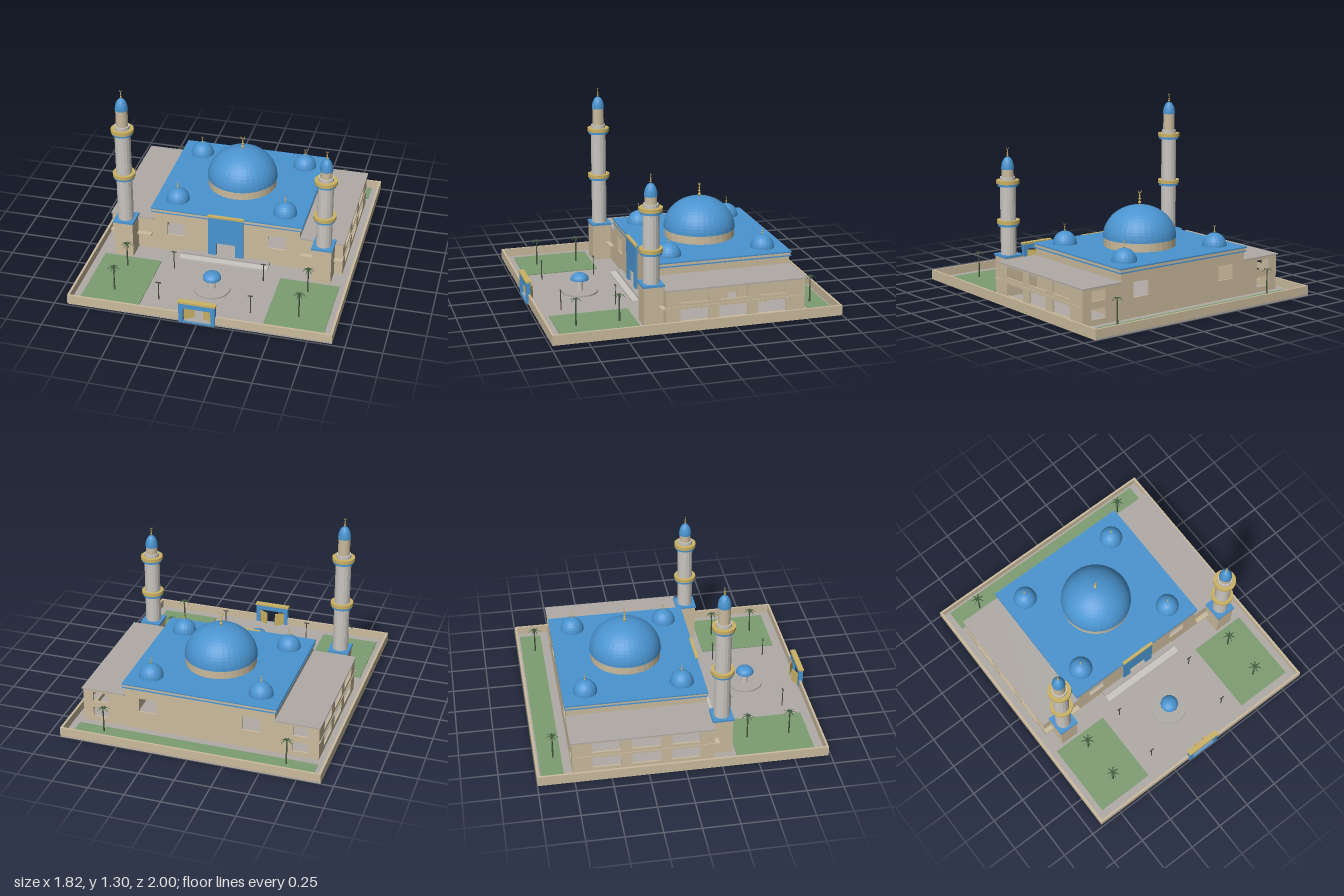
import * as THREE from 'three';

const mat = (name, color) => {
  const m = new THREE.MeshStandardMaterial({ color });
  m.name = name;
  return m;
};

export function createModel() {
  const blue = mat('blue', 0x4a94d0);
  const beige = mat('sandstone', 0xcbbb9e);
  const grey = mat('paving grey', 0xb0aba6);
  const pale = mat('pale stone', 0xcac6c0);
  const green = mat('lawn green', 0x7d9d72);
  const gold = mat('gold', 0xcbb264);
  const palm = mat('palm green', 0x46563f);
  const iron = mat('dark iron', 0x4a4a48);
  const leafMat = mat('frond green', 0x3f5a3c);
  leafMat.side = THREE.DoubleSide;

  const model = new THREE.Group();
  model.name = 'mosque';

  const add = (parent, name, geo, m, x = 0, y = 0, z = 0) => {
    const mesh = new THREE.Mesh(geo, m);
    mesh.name = name;
    mesh.position.set(x, y, z);
    parent.add(mesh);
    return mesh;
  };
  const group = (name, x = 0, y = 0, z = 0) => {
    const g = new THREE.Group();
    g.name = name;
    g.position.set(x, y, z);
    model.add(g);
    return g;
  };
  // Box given by its limits on each axis
  const box = (parent, name, m, x0, x1, y0, y1, z0, z1) =>
    add(parent, name, new THREE.BoxGeometry(x1 - x0, y1 - y0, z1 - z0), m,
      (x0 + x1) / 2, (y0 + y1) / 2, (z0 + z1) / 2);
  const faceted = (geo) => {
    const g = geo.toNonIndexed();
    g.computeVertexNormals();
    return g;
  };
  const drum = (parent, name, m, r, y0, y1, sides = 24) =>
    add(parent, name, faceted(new THREE.CylinderGeometry(r, r, y1 - y0, sides)), m, 0, (y0 + y1) / 2, 0);
  const dome = (parent, name, r, h, y, sides = 32, rows = 12) => {
    const geo = new THREE.SphereGeometry(r, sides, rows, 0, Math.PI * 2, 0, Math.PI / 2);
    geo.scale(1, h / r, 1);
    return add(parent, name, faceted(geo), blue, 0, y, 0);
  };
  // Upright wall with rectangular openings [x0, x1, y0, y1]
  const wall = (parent, name, m, x0, x1, y0, y1, depth, holes) => {
    const rect = (P, a, b, c, d) => {
      const p = new P();
      p.moveTo(a, c); p.lineTo(b, c); p.lineTo(b, d); p.lineTo(a, d); p.closePath();
      return p;
    };
    const shape = rect(THREE.Shape, x0, x1, y0, y1);
    holes.forEach((h) => shape.holes.push(rect(THREE.Path, ...h)));
    return add(parent, name, new THREE.ExtrudeGeometry(shape, { depth, bevelEnabled: false }), m);
  };
  // Rod with beads and an upturned crescent
  const finial = (parent, y, h) => {
    const f = new THREE.Group();
    f.name = 'finial';
    f.position.y = y;
    parent.add(f);
    add(f, 'rod', new THREE.CylinderGeometry(h * 0.03, h * 0.04, h * 0.8, 6), gold, 0, h * 0.4, 0);
    [[0.2, 0.1], [0.42, 0.08], [0.6, 0.06]].forEach(([t, r]) =>
      add(f, 'bead', new THREE.SphereGeometry(h * r, 10, 8), gold, 0, h * t, 0));
    const moon = add(f, 'crescent', new THREE.TorusGeometry(h * 0.12, h * 0.03, 6, 14, Math.PI * 1.35), gold, 0, h * 0.89, 0);
    moon.rotation.z = -Math.PI * 1.175;
  };

  // Courtyard and boundary wall
  const yard = group('courtyard');
  box(yard, 'paving', grey, -0.91, 0.91, 0, 0.012, -1, 0.985);
  box(yard, 'backBoundary', beige, -0.912, 0.912, 0, 0.07, -1, -0.985);
  for (const s of [-1, 1]) {
    const side = box(yard, 'sideBoundary', beige, -0.008, 0.008, 0, 0.07, -0.985, 0.97);
    side.position.x = s * 0.904;
    box(yard, 'frontBoundary', beige, s < 0 ? -0.912 : 0.11, s < 0 ? -0.11 : 0.912, 0, 0.07, 0.97, 0.985);
    const lawn = box(yard, 'frontLawn', green, -0.2075, 0.2075, 0.012, 0.018, 0.365, 0.905);
    lawn.position.x = s * 0.6375;
  }
  box(yard, 'backLawn', green, -0.845, 0.845, 0.012, 0.018, -0.97, -0.815);
  box(yard, 'entranceStep', grey, -0.32, 0.32, 0.012, 0.035, 0.21, 0.25);
  box(yard, 'lowerStep', pale, -0.32, 0.32, 0.012, 0.024, 0.245, 0.3);

  // Gate with its two leaves ajar
  const gate = group('gate');
  wall(gate, 'gateFrame', blue, -0.125, 0.125, 0, 0.152, 0.03, [[-0.095, 0.095, 0.008, 0.115]]).position.z = 0.967;
  box(gate, 'gateCap', gold, -0.13, 0.13, 0.152, 0.166, 0.962, 1);
  for (const s of [-1, 1]) {
    const leaf = box(gate, 'gateLeaf', gold, -0.036, 0.036, 0.012, 0.108, -0.003, 0.003);
    leaf.position.set(s * 0.063, 0.06, 0.955);
    leaf.rotation.y = s * -0.5;
  }

  // Prayer hall, hollow with openings
  const hall = group('hall');
  const windows = [-1, 1].map((s) => [s * 0.365 - 0.063, s * 0.365 + 0.063, 0.146, 0.25]);
  wall(hall, 'frontWall', beige, -0.53, 0.53, 0, 0.346, 0.012, [...windows, [-0.07, 0.07, 0.013, 0.135]]).position.z = 0.198;
  wall(hall, 'backWall', beige, -0.53, 0.53, 0, 0.346, 0.012, windows).position.z = -0.757;
  for (const s of [-1, 1]) {
    const w = wall(hall, 'sideWall', beige, -0.198, 0.745, 0, 0.346, 0.012, [[0.32, 0.38, 0.013, 0.1]]);
    w.rotation.y = Math.PI / 2;
    w.position.x = s > 0 ? 0.518 : -0.53;
  }
  box(hall, 'roof', blue, -0.545, 0.545, 0.346, 0.356, -0.77, 0.217);
  box(hall, 'cornice', beige, -0.538, 0.538, 0.328, 0.346, -0.763, 0.214);
  box(hall, 'corniceStripe', blue, -0.543, 0.543, 0.32, 0.328, -0.768, 0.216);

  // Tall entrance portal
  wall(hall, 'portal', blue, -0.127, 0.127, 0.012, 0.343, 0.015, [[-0.07, 0.07, 0.013, 0.135]]).position.z = 0.209;
  box(hall, 'portalCap', gold, -0.13, 0.13, 0.343, 0.357, 0.205, 0.227);

  // Central and corner domes
  const main = group('mainDome', 0, 0, -0.277);
  drum(main, 'domeDrum', beige, 0.247, 0.356, 0.415, 32);
  dome(main, 'domeShell', 0.252, 0.22, 0.415, 36, 14);
  finial(main, 0.63, 0.11);
  for (const x of [-0.39, 0.39]) for (const z of [0.06, -0.61]) {
    const d = group('cornerDome', x, 0, z);
    dome(d, 'domeShell', 0.084, 0.09, 0.356, 20, 8);
    finial(d, 0.442, 0.06);
  }

  // Two-storey side wings
  for (const s of [-1, 1]) {
    const wing = group('wing');
    const holes = [];
    for (const c of [-0.015, 0.255, 0.525]) {
      holes.push([c - 0.097, c + 0.097, 0.17, 0.248], [c - 0.097, c + 0.097, 0.045, 0.128]);
    }
    const outer = wall(wing, 'outerWall', beige, -0.21, 0.757, 0, 0.258, 0.012, holes);
    outer.rotation.y = Math.PI / 2;
    outer.position.x = s > 0 ? 0.823 : -0.835;
    const a = s > 0 ? 0.53 : -0.823, b = s > 0 ? 0.823 : -0.53;
    const c = s * 0.71;
    wall(wing, 'backWall', beige, a, b, 0, 0.258, 0.012,
      [[c - 0.055, c + 0.055, 0.17, 0.24], [c - 0.055, c + 0.055, 0.05, 0.12]]).position.z = -0.757;
    box(wing, 'frontWall', beige, a, b, 0, 0.258, 0.198, 0.21);
    box(wing, 'wingRoof', grey, s > 0 ? 0.53 : -0.842, s > 0 ? 0.842 : -0.53, 0.258, 0.267, -0.767, 0.215);
    box(wing, 'frontLedge', beige, s > 0 ? 0.54 : -0.84, s > 0 ? 0.84 : -0.54, 0.133, 0.144, 0.205, 0.245);
    const band = box(wing, 'floorBand', beige, -0.003, 0.003, 0.138, 0.146, -0.757, 0.21);
    band.position.x = s * 0.837;
  }

  // Minarets: the one on the right is taller
  const minaret = (x, low, high, crown) => {
    const m = group('minaret', x, 0, 0.277);
    box(m, 'base', beige, -0.067, 0.067, 0.012, 0.276, -0.067, 0.067);
    box(m, 'baseCap', blue, -0.074, 0.074, 0.276, 0.29, -0.074, 0.074);
    drum(m, 'shaft', pale, 0.055, 0.29, high, 16);
    for (const y of [low, high]) {
      drum(m, 'balconyFloor', blue, 0.072, y - 0.02, y - 0.003);
      drum(m, 'balconyRail', gold, 0.079, y - 0.003, y + 0.022);
    }
    drum(m, 'collar', pale, 0.052, high + 0.022, Math.min(high + 0.045, crown - 0.03), 16);
    drum(m, 'lantern', beige, 0.042, high + 0.02, crown, 16);
    dome(m, 'minaretDome', 0.045, 0.087, crown, 16, 8);
    finial(m, crown + 0.083, 0.068);
  };
  minaret(-0.71, 0.638, 0.985, 1.15);
  minaret(0.71, 0.508, 0.785, 0.88);

  // Fountain with a domed canopy
  const fountain = group('fountain', 0, 0, 0.595);
  drum(fountain, 'basin', grey, 0.126, 0.012, 0.024, 32);
  drum(fountain, 'column', pale, 0.024, 0.024, 0.106, 16);
  drum(fountain, 'canopyBase', blue, 0.063, 0.102, 0.107);
  dome(fountain, 'canopy', 0.063, 0.043, 0.107, 24, 8);

  // Palms with drooping fronds
  const frond = new THREE.PlaneGeometry(0.045, 0.013, 4, 1);
  frond.rotateX(-Math.PI / 2);
  frond.translate(0.0225, 0, 0);
  const p = frond.attributes.position;
  for (let i = 0; i < p.count; i++) {
    const t = p.getX(i) / 0.045;
    p.setY(i, 0.012 * t - 0.026 * t * t);
    p.setZ(i, p.getZ(i) * (1 - 0.75 * t));
  }
  frond.computeVertexNormals();
  for (const x of [-0.645, 0.645]) for (const z of [0.475, 0.77, -0.87]) {
    const tree = group('palmTree', x, 0, z);
    add(tree, 'trunk', new THREE.CylinderGeometry(0.004, 0.006, 0.185, 8), palm, 0, 0.108, 0);
    for (let i = 0; i < 7; i++) {
      add(tree, 'frond', frond, leafMat, 0, 0.203, 0).rotation.y = (i / 7) * Math.PI * 2;
    }
  }

  // Lamp posts
  for (const x of [-0.32, 0.32]) for (const z of [0.42, 0.8]) {
    const lamp = group('lampPost', x, 0, z);
    add(lamp, 'pole', new THREE.CylinderGeometry(0.003, 0.004, 0.14, 8), iron, 0, 0.08, 0);
    box(lamp, 'lampArm', iron, -0.018, 0.018, 0.147, 0.152, -0.004, 0.004);
  }
  return model;
}
